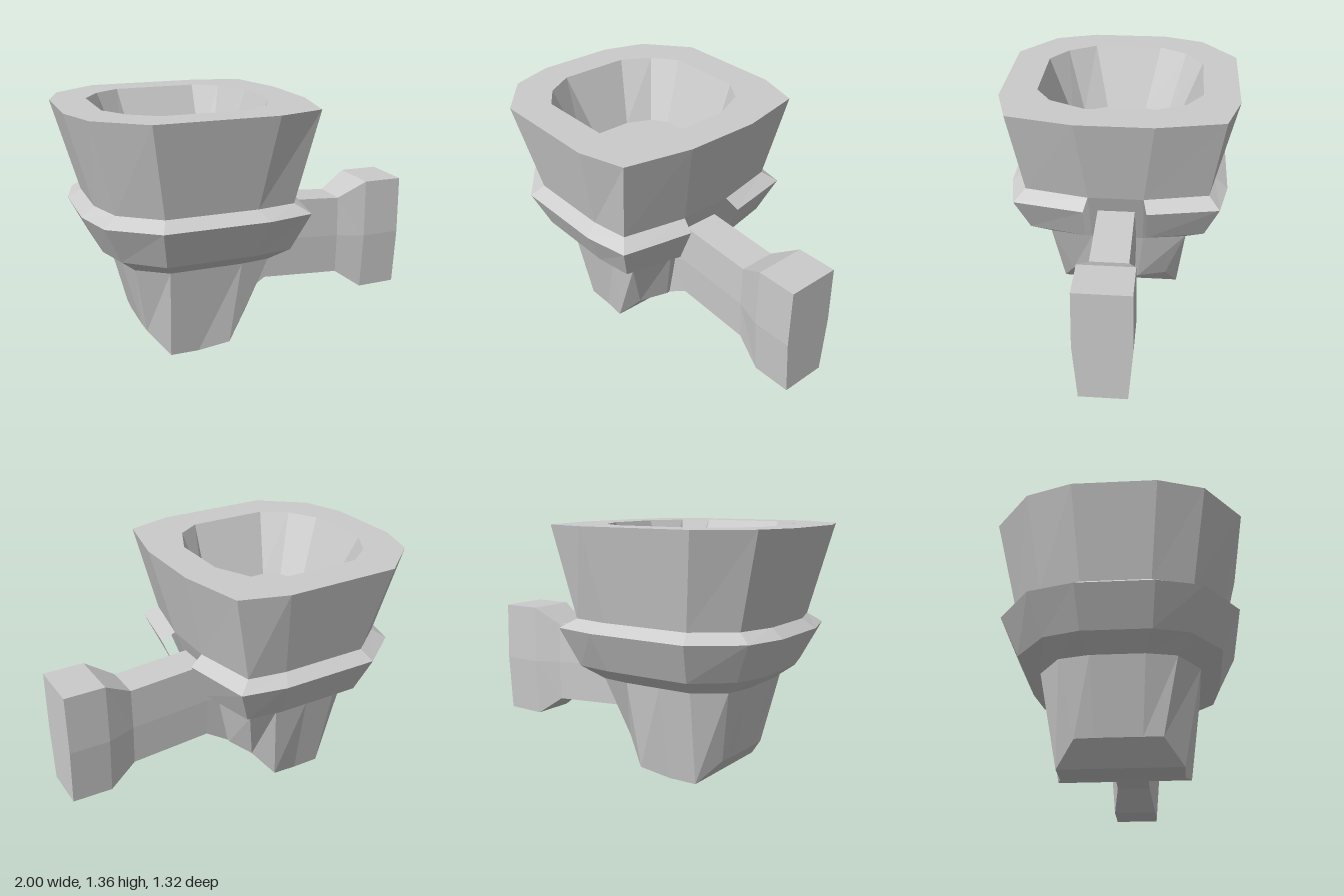
import * as THREE from 'three';

const material = new THREE.MeshStandardMaterial({ color: 0xcccccc, flatShading: true });

// Half section [x, y, z] with z > 0, mirrored into a full ring
const ring = half => [...half, ...half.map(([x, y, z]) => [x, y, -z]).reverse()];
const level = (y, pts) => ring(pts.map(([x, z]) => [x, y, z]));

// Skin a list of rings; closed skins get strip caps, open ones get end walls
function loft(name, rings, open = false) {
  const n = rings[0].length, last = rings.length - 1, index = [];
  const quad = (a, b, c, d) => index.push(a, b, c, a, c, d);
  for (let r = 0; r < last; r++) {
    for (let i = 0; i < (open ? n - 1 : n); i++) {
      const j = (i + 1) % n;
      quad(r * n + i, r * n + j, (r + 1) * n + j, (r + 1) * n + i);
    }
  }
  if (open) {
    quad(0, 3 * n, 2 * n, n);
    quad(n - 1, 2 * n - 1, 3 * n - 1, 4 * n - 1);
  } else {
    for (let i = 0; i < n / 2 - 1; i++) {
      const e = last * n;
      quad(n - 1 - i, n - 2 - i, i + 1, i);
      quad(e + i, e + i + 1, e + n - 2 - i, e + n - 1 - i);
    }
  }
  const geometry = new THREE.BufferGeometry();
  geometry.setAttribute('position', new THREE.Float32BufferAttribute(rings.flat(2), 3));
  geometry.setIndex(index);
  geometry.computeVertexNormals();
  const mesh = new THREE.Mesh(geometry, material);
  mesh.name = name;
  return mesh;
}

export function createModel() {
  const group = new THREE.Group();
  group.name = 'cupWithHandle';

  // Sections run from the handle side (+x) round to the far side (-x)
  const waist = level(0.86, [[0.2, 0.155], [0.125, 0.515], [-0.09, 0.55], [-0.34, 0.55], [-0.59, 0.55], [-0.8, 0.39], [-0.865, 0.18]]);
  const neck = level(0.52, [[0.07, 0.15], [0.03, 0.395], [-0.13, 0.415], [-0.34, 0.415], [-0.53, 0.415], [-0.69, 0.3], [-0.725, 0.14]]);

  // Bowl: hollow floor, inner rim, outer rim, waist, neck, angled foot
  group.add(loft('bowl', [
    level(1.01, [[-0.02, 0.12], [-0.05, 0.26], [-0.11, 0.32], [-0.34, 0.32], [-0.51, 0.32], [-0.6, 0.26], [-0.665, 0.12]]),
    level(1.36, [[0.12, 0.17], [0.025, 0.37], [-0.11, 0.46], [-0.34, 0.46], [-0.57, 0.46], [-0.71, 0.36], [-0.805, 0.2]]),
    level(1.36, [[0.32, 0.21], [0.24, 0.58], [-0.02, 0.66], [-0.34, 0.66], [-0.67, 0.66], [-0.92, 0.46], [-1, 0.22]]),
    waist,
    neck,
    ring([[-0.005, 0.19, 0.12], [-0.06, 0.185, 0.285], [-0.18, 0.04, 0.355], [-0.35, 0, 0.32],
      [-0.51, 0, 0.32], [-0.615, 0.12, 0.22], [-0.62, 0.12, 0.12]]),
  ]));

  // Belt: raised collar that stops either side of the handle
  group.add(loft('belt', [
    waist,
    level(0.81, [[0.275, 0.175], [0.2, 0.575], [-0.05, 0.625], [-0.34, 0.625], [-0.62, 0.625], [-0.87, 0.44], [-0.935, 0.2]]),
    level(0.6, [[0.185, 0.175], [0.115, 0.5], [-0.09, 0.53], [-0.34, 0.53], [-0.58, 0.53], [-0.775, 0.37], [-0.83, 0.18]]),
    neck,
  ], true));

  // Handle: x, bottom, top, half widths at top, middle and bottom
  const sections = [
    [-0.03, 0.175, 0.77, 0.105, 0.11, 0.1],
    [0.14, 0.285, 0.755, 0.105, 0.11, 0.1],
    [0.61, 0.255, 0.725, 0.105, 0.11, 0.1],
    [0.77, 0.145, 0.82, 0.15, 0.155, 0.13],
    [1, 0.15, 0.82, 0.15, 0.155, 0.13],
  ];
  group.add(loft('handle', sections.map(([x, lo, hi, a, b, c]) =>
    ring([[x, hi, a], [x, (lo + hi) / 2, b], [x, lo, c]]))));

  return group;
}
